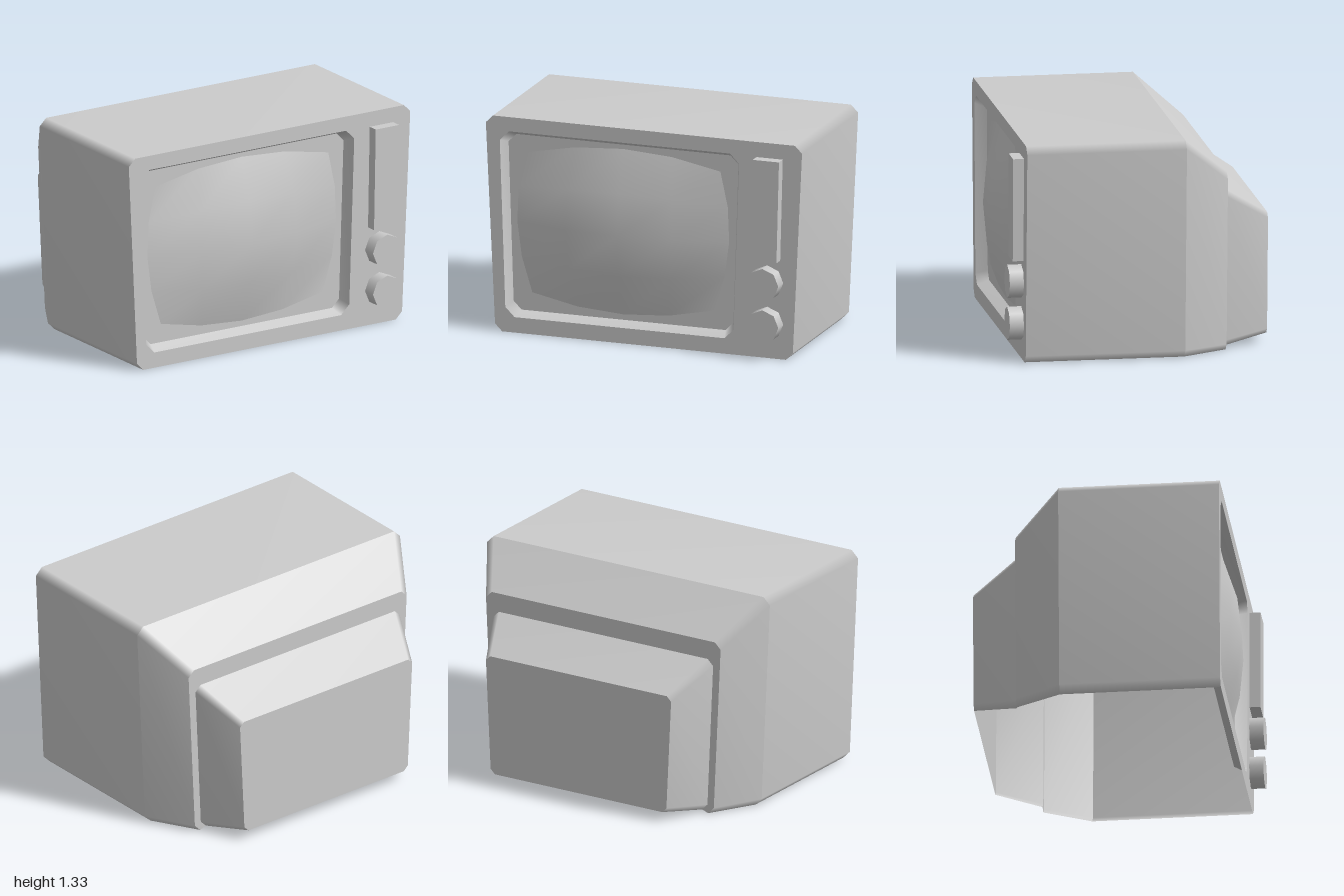
import * as THREE from 'three';

const material = new THREE.MeshStandardMaterial({ color: 0xcccccc, side: THREE.DoubleSide });

// Tapered rectangle with cut corners, counter-clockwise from the bottom right
function ring(halfTop, halfBottom, y0, y1, cut, z, cx = 0) {
  const right = [[halfBottom - cut, y0], [halfBottom, y0 + cut], [halfTop, y1 - cut], [halfTop - cut, y1]];
  const left = right.map(([x, y]) => [-x, y]).reverse();
  return [...right, ...left].map(([x, y]) => new THREE.Vector3(x + cx, y, z));
}

// Skin between two rings; an open skin leaves out the bottom side
function loft(a, b, closed) {
  const n = a.length, index = [];
  for (let i = 0; i < (closed ? n : n - 1); i++) {
    const j = (i + 1) % n;
    index.push(i, n + i, j, j, n + i, n + j);
  }
  const geometry = new THREE.BufferGeometry().setFromPoints([...a, ...b]);
  geometry.setIndex(index);
  geometry.computeVertexNormals();
  return geometry;
}

const flat = (points) => points.map((p) => new THREE.Vector2(p.x, p.y));

export function createModel() {
  const group = new THREE.Group();
  const add = (name, geometry) => {
    const mesh = new THREE.Mesh(geometry, material);
    mesh.name = name;
    group.add(mesh);
    return mesh;
  };

  // Cabinet, open underneath: straight shell, tapered rear, step and tube housing
  const front = ring(1, 0.942, 0, 1.325, 0.045, 0.71);
  const shoulder = ring(1, 0.942, 0, 1.325, 0.045, -0.25);
  const rear = ring(0.83, 0.782, 0, 1.09, 0.04, -0.525);
  const housing = ring(0.777, 0.737, 0.015, 0.975, 0.038, -0.525);
  const end = ring(0.655, 0.622, 0.06, 0.8, 0.03, -0.795);
  add('cabinetShell', loft(front, shoulder));
  add('cabinetTaper', loft(shoulder, rear));
  add('rearStep', loft(rear, housing));
  add('tubeHousing', loft(housing, end));
  const back = add('backPanel', new THREE.ShapeGeometry(new THREE.Shape(flat(end))).rotateY(Math.PI));
  back.position.z = -0.795;

  // Front panel with the screen opening
  const cx = -0.155;
  const opening = ring(0.757, 0.722, 0.095, 1.237, 0.058, 0.71, cx);
  const floor = ring(0.727, 0.695, 0.125, 1.205, 0.05, 0.64, cx);
  const panel = new THREE.Shape(flat(front));
  panel.holes.push(new THREE.Path(flat(opening)));
  add('frontPanel', new THREE.ShapeGeometry(panel)).position.z = 0.71;

  // Recess around the screen
  add('screenRecess', loft([...opening].reverse(), [...floor].reverse(), true).scale(1, 1, 1));
  add('recessFloor', new THREE.ShapeGeometry(new THREE.Shape(flat(floor)))).position.z = 0.64;

  // Bulging screen: a coarse grid with bowed edges
  const screen = new THREE.PlaneGeometry(2, 2, 4, 4);
  const pos = screen.attributes.position;
  for (let i = 0; i < pos.count; i++) {
    const u = pos.getX(i), v = pos.getY(i);
    pos.setXYZ(i,
      cx + u * (0.67 - 0.075 * v * v + 0.02 * v),
      0.67 + v * (0.51 - 0.08 * u * u),
      0.645 + 0.112 * (1 - u * u) * (1 - v * v));
  }
  screen.computeVertexNormals();
  add('screen', screen);

  // Speaker slab
  const slab = new THREE.Shape([[0.7, 0.608], [0.862, 0.608], [0.878, 1.232], [0.712, 1.232]]
    .map(([x, y]) => new THREE.Vector2(x, y)));
  add('speakerPanel', new THREE.ExtrudeGeometry(slab, { depth: 0.065, bevelEnabled: false })).position.z = 0.71;

  // Eight-sided knobs
  [['upperKnob', 0.47], ['lowerKnob', 0.215]].forEach(([name, y]) => {
    const knob = new THREE.CylinderGeometry(0.101, 0.101, 0.085, 8).rotateX(Math.PI / 2);
    add(name, knob).position.set(0.78, y, 0.7525);
  });

  return group;
}
